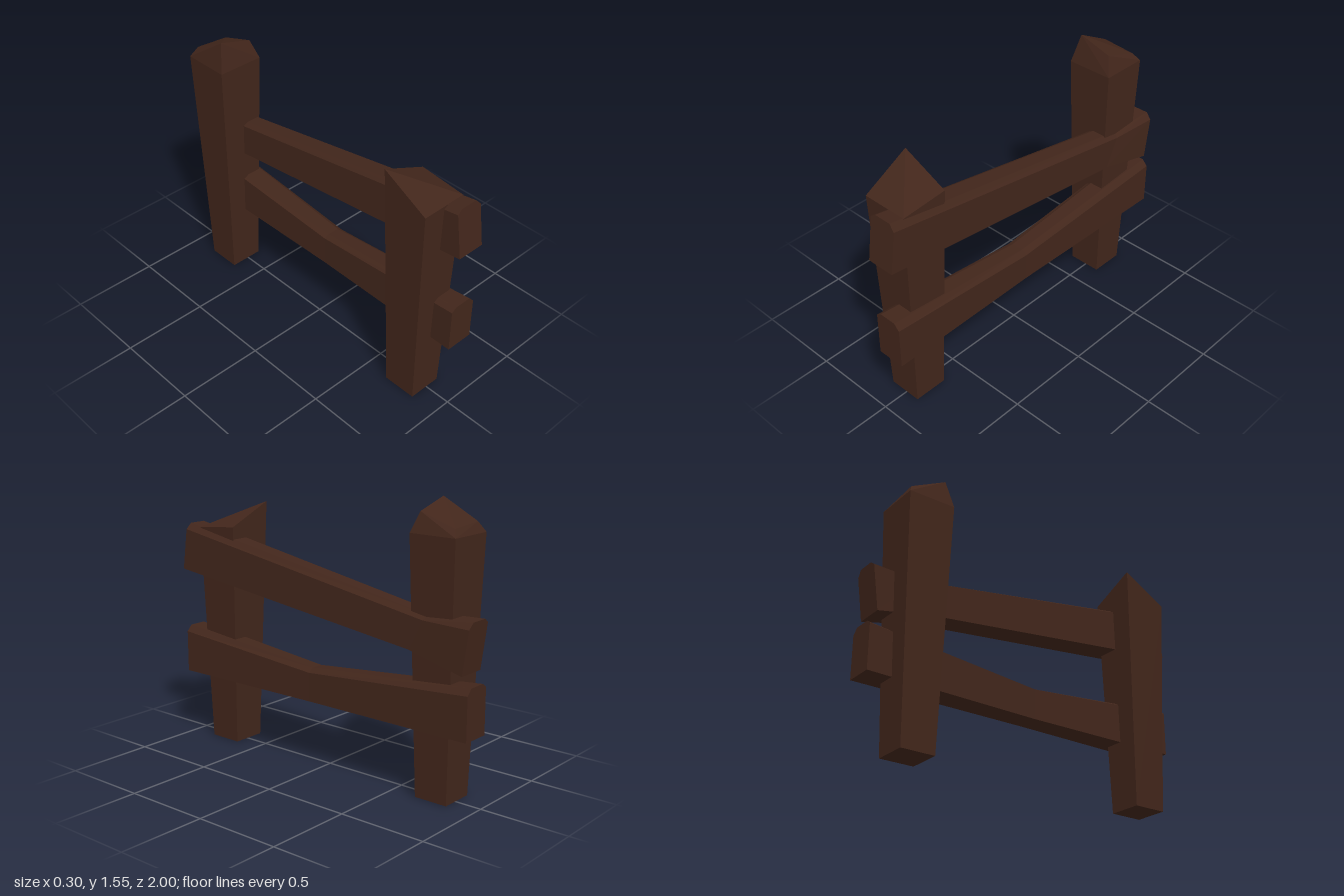
import * as THREE from 'three';
import { ConvexGeometry } from 'three/addons/geometries/ConvexGeometry.js';

const wood = new THREE.MeshStandardMaterial({ color: 0x42261b, flatShading: true });

// Square tapered post: the hull of a small base and the points of its cut top
function makePost(name, zNear, zFar, topPoints) {
  const points = [];
  for (const x of [-0.11, 0.085]) for (const z of [zNear, zFar]) points.push([x, 0, z]);
  points.push(...topPoints);
  const mesh = new THREE.Mesh(new ConvexGeometry(points.map((p) => new THREE.Vector3(...p))), wood);
  mesh.name = name;
  return mesh;
}

// Plank cross-section with chamfered upper edges, spanning top [z, y] to bottom [z, y]
function plankRing({ x0, x1, top, bottom }) {
  const at = (x, t) => [
    x,
    top[1] + (bottom[1] - top[1]) * t,
    top[0] + (bottom[0] - top[0]) * t,
  ];
  return [at(x0, 1), at(x1, 1), at(x1, 0.125), at(x1 - 0.032, 0), at(x0 + 0.03, 0), at(x0, 0.075)];
}

// Rail lofted through cross-sections ordered from front to back
function makeRail(name, sections) {
  const rings = sections.map(plankRing);
  const n = rings[0].length;
  const last = rings.length - 1;
  const index = [];
  for (let i = 0; i < last; i++) {
    for (let j = 0; j < n; j++) {
      const a = i * n + j, b = i * n + ((j + 1) % n);
      index.push(a, a + n, b + n, a, b + n, b);
    }
  }
  for (let k = 1; k < n - 1; k++) {
    index.push(0, k, k + 1);
    index.push(last * n, last * n + k + 1, last * n + k);
  }
  let geometry = new THREE.BufferGeometry();
  geometry.setAttribute('position', new THREE.Float32BufferAttribute(rings.flat(2), 3));
  geometry.setIndex(index);
  geometry = geometry.toNonIndexed();
  geometry.computeVertexNormals();
  const mesh = new THREE.Mesh(geometry, wood);
  mesh.name = name;
  return mesh;
}

export function createModel() {
  const fence = new THREE.Group();
  fence.name = 'fence';

  // Front post, cut at a slant with one corner left high
  fence.add(makePost('frontPost', 0.845, 0.65, [
    [-0.152, 1.41, 0.61], [0.122, 1.29, 0.612],
    [0.12, 1.265, 0.88], [-0.15, 1.265, 0.88],
  ]));

  // Back post, with shoulders and a sloping cap
  fence.add(makePost('backPost', -0.65, -0.845, [
    [-0.148, 1.39, -0.613], [0.122, 1.39, -0.613],
    [0.122, 1.39, -0.885], [-0.148, 1.39, -0.885],
    [-0.11, 1.553, -0.65], [0.085, 1.497, -0.65],
    [0.085, 1.43, -0.858], [-0.11, 1.445, -0.858],
  ]));

  // Upper rail, leaning down toward the back and kinked at the post
  fence.add(makeRail('upperRail', [
    { x0: -0.015, x1: 0.148, top: [0.962, 1.28], bottom: [1.0, 1.01] },
    { x0: -0.004, x1: 0.132, top: [-0.72, 0.988], bottom: [-0.63, 0.8] },
    { x0: -0.015, x1: 0.148, top: [-0.998, 0.997], bottom: [-0.96, 0.725] },
  ]));

  // Lower rail, worn down in the middle
  fence.add(makeRail('lowerRail', [
    { x0: -0.015, x1: 0.148, top: [0.985, 0.667], bottom: [0.985, 0.392] },
    { x0: 0, x1: 0.132, top: [0.04, 0.575], bottom: [0.04, 0.389] },
    { x0: -0.015, x1: 0.148, top: [-0.997, 0.667], bottom: [-0.997, 0.392] },
  ]));

  return fence;
}
